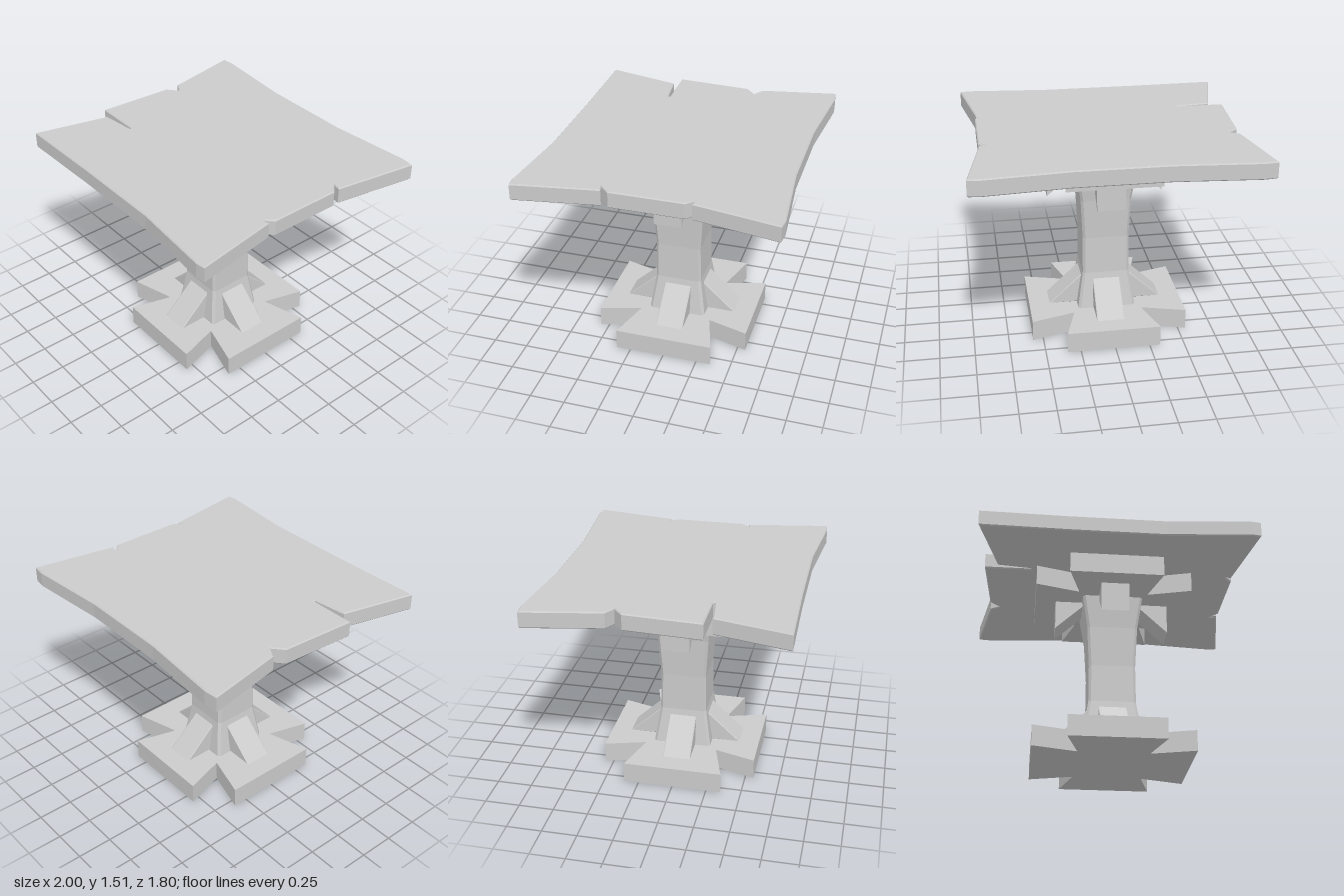
import * as THREE from 'three';

const material = new THREE.MeshStandardMaterial({ color: 0xcccccc, flatShading: true });

function add(parent, name, geometry) {
  const mesh = new THREE.Mesh(geometry, material);
  mesh.name = name;
  parent.add(mesh);
  return mesh;
}

// Extrude an outline, optionally with a small chamfer that stays inside it
function prism(points, depth, bevel = 0) {
  const shape = new THREE.Shape(points.map(([x, y]) => new THREE.Vector2(x, y)));
  return new THREE.ExtrudeGeometry(shape, {
    depth: depth - 2 * bevel, bevelEnabled: bevel > 0, bevelSegments: 1,
    bevelSize: bevel, bevelThickness: bevel, bevelOffset: -bevel,
  }).translate(0, 0, bevel);
}

// Horizontal slab from an x/z outline, between two heights
function slab(points, bottom, top, bevel) {
  return prism(points, top - bottom, bevel).rotateX(Math.PI / 2).translate(0, top, 0);
}

// Square plate with a V notch in each corner
function notchedOutline() {
  const corner = [[0.565, 0.355], [0.25, 0.265], [0.335, 0.56]];
  const points = [];
  for (const [sx, sz] of [[1, 1], [-1, 1], [-1, -1], [1, -1]]) {
    const part = corner.map(([x, z]) => [x * sx, z * sz]);
    points.push(...(sx * sz > 0 ? part : part.reverse()));
  }
  return points;
}

// Flared square column with chamfered corners; rows are [y, half x, half z]
function columnGeometry() {
  const rows = [[1.26, 0.222, 0.222], [1.0, 0.183, 0.185], [0.7, 0.168, 0.165],
    [0.42, 0.17, 0.17], [0.14, 0.212, 0.212]];
  const chamfer = 0.018;
  const geometry = new THREE.CylinderGeometry(1, 1, 1, 8, rows.length - 1, true);
  const pos = geometry.attributes.position;
  for (let i = 0; i < pos.count; i++) {
    const [y, hx, hz] = rows[Math.floor(i / 9)];
    const k = i % 8 === 0 && i % 9 === 8 ? 0 : (i % 9) % 8;
    const angle = (k + 0.5) * Math.PI / 4;
    const s = Math.sin(angle), c = Math.cos(angle);
    const wide = Math.abs(s) > Math.abs(c);
    pos.setXYZ(i, Math.sign(s) * (wide ? hx : hx - chamfer), y,
      Math.sign(c) * (wide ? hz - chamfer : hz));
  }
  geometry.computeVertexNormals();
  return geometry;
}

export function createModel() {
  const model = new THREE.Group();
  model.name = 'table';

  // Table top with worn edges and splits
  const topOutline = [
    [-1, -0.895], [-0.9, -0.905], [-0.32, -0.855], [0.33, -0.855], [0.91, -0.905], [0.995, -0.895],
    [0.89, -0.305], [0.84, -0.315], [0.895, -0.26], [0.895, 0.25], [0.84, 0.31], [0.885, 0.3],
    [0.98, 0.89], [0.91, 0.9], [0.33, 0.848], [-0.35, 0.848], [-0.97, 0.86],
    [-0.84, 0.335], [-0.6, 0.307], [-0.6, 0.295], [-0.935, 0.295],
    [-0.9, -0.24], [-0.825, -0.305], [-0.9, -0.35],
  ];
  add(model, 'tableTop', slab(topOutline, 1.39, 1.51, 0.008));

  // Pedestal: foot, column and support plate
  const pedestal = new THREE.Group();
  pedestal.name = 'pedestal';
  pedestal.position.x = 0.01;
  model.add(pedestal);
  add(pedestal, 'footPlate', slab(notchedOutline(), 0, 0.15));
  add(pedestal, 'supportPlate', slab(notchedOutline(), 1.24, 1.39));
  add(pedestal, 'column', columnGeometry());

  // Wedge braces on all four sides, below and above
  const lower = prism([[0.14, 0.15], [0.415, 0.15], [0.175, 0.375], [0.14, 0.375]], 0.2, 0.006)
    .translate(0, 0, -0.1);
  const upper = prism([[0.18, 1.24], [0.415, 1.02], [0.415, 1.24]], 0.2).translate(0, 0, -0.1);
  for (let i = 0; i < 4; i++) {
    add(pedestal, 'lowerBrace', lower).rotation.y = i * Math.PI / 2;
    add(pedestal, 'upperBrace', upper).rotation.y = i * Math.PI / 2;
  }
  return model;
}
